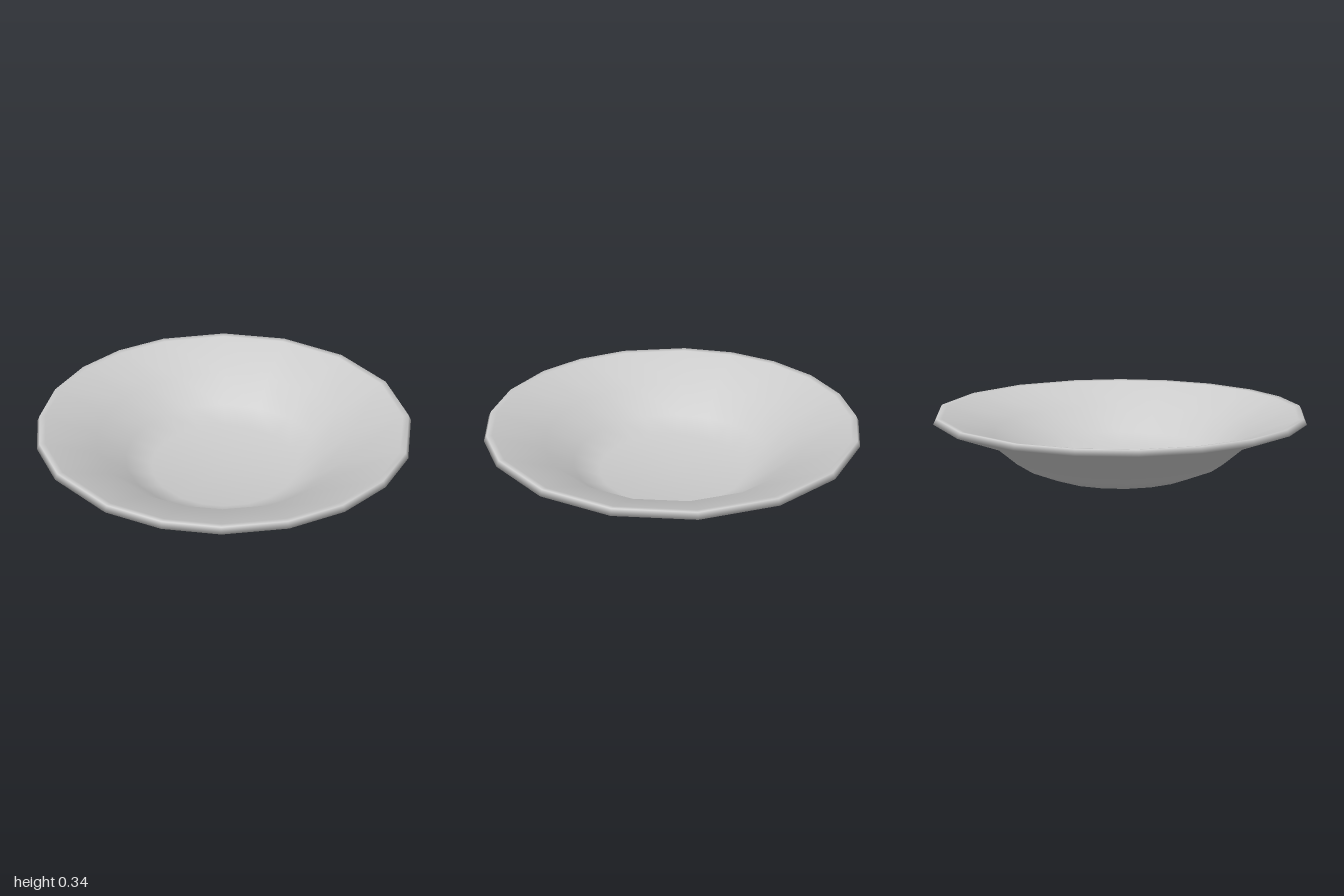
import * as THREE from 'three';
import { mergeVertices } from 'three/addons/utils/BufferGeometryUtils.js';

// Slightly uneven facet angles around the rim, in degrees from +z towards +x
const FACETS = [0, 16, 34, 51, 68, 85, 107, 129, 152, 175, 197, 219, 236.5, 253, 270, 287, 303.5, 321, 343];

// Cross-section [radius, height]: underside, rim, then inside down to the floor
const PROFILE = [
  [0, 0], [0.42, 0.005], [0.57, 0.07], [0.72, 0.2], [1, 0.31],
  [0.985, 0.34], [0.955, 0.335], [0.69, 0.225], [0.54, 0.095], [0.4, 0.035], [0, 0.03],
];

// Lathe whose segments are moved to the given angles, with smooth shared normals
function unevenLathe(profile, degrees) {
  const points = profile.map(([r, y]) => new THREE.Vector2(r, y));
  const geometry = new THREE.LatheGeometry(points, degrees.length);
  const pos = geometry.attributes.position;
  for (let i = 0; i < pos.count; i++) {
    const segment = Math.floor(i / points.length) % degrees.length;
    const angle = THREE.MathUtils.degToRad(degrees[segment]);
    const r = points[i % points.length].x;
    pos.setX(i, r * Math.sin(angle));
    pos.setZ(i, r * Math.cos(angle));
  }
  geometry.deleteAttribute('normal');
  geometry.deleteAttribute('uv');
  const merged = mergeVertices(geometry, 1e-5);
  merged.computeVertexNormals();
  return merged;
}

export function createModel() {
  const group = new THREE.Group();
  group.name = 'soupPlate';
  const material = new THREE.MeshStandardMaterial({ color: 0xcccccc });
  const plate = new THREE.Mesh(unevenLathe(PROFILE, FACETS), material);
  plate.name = 'plate';
  group.add(plate);
  return group;
}
